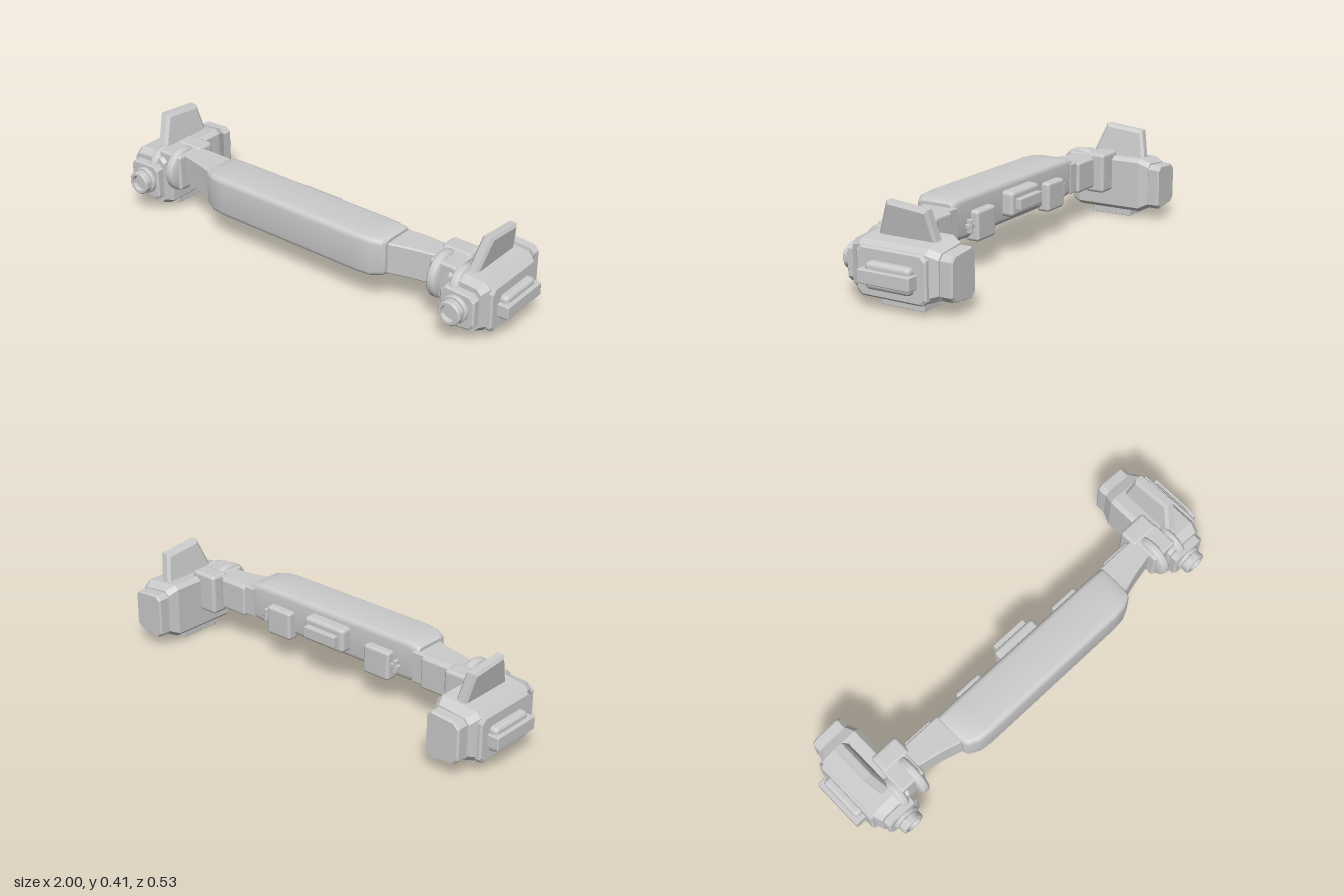
import * as THREE from 'three';
import { toCreasedNormals } from 'three/addons/utils/BufferGeometryUtils.js';
import { RoundedBoxGeometry } from 'three/addons/geometries/RoundedBoxGeometry.js';

const grey = new THREE.MeshStandardMaterial({ color: 0xcccccc });
grey.name = 'light grey';

// Rounded rectangle outline as [a, b] pairs
function roundRect(a0, a1, b0, b1, r, n = 4) {
  const pts = [];
  [[a1 - r, b1 - r], [a0 + r, b1 - r], [a0 + r, b0 + r], [a1 - r, b0 + r]].forEach(([a, b], k) => {
    for (let i = 0; i <= n; i++) {
      const t = (k + i / n) * Math.PI / 2;
      pts.push([a + r * Math.cos(t), b + r * Math.sin(t)]);
    }
  });
  return pts;
}

// Cuts the corners of a polygon by length c
function chamfer(pts, c) {
  return pts.flatMap((p, i) => [pts.at(i - 1), pts[(i + 1) % pts.length]].map((q) => {
    const d = Math.hypot(q[0] - p[0], q[1] - p[1]);
    return [p[0] + (q[0] - p[0]) * c / d, p[1] + (q[1] - p[1]) * c / d];
  }));
}

// Closed skin over rings of 3D points, turned to face outward
function loft(rings, crease = 0.5) {
  const n = rings[0].length, pos = [];
  const tri = (a, b, c) => pos.push([a, b, c]);
  for (let k = 0; k + 1 < rings.length; k++) {
    for (let i = 0; i < n; i++) {
      const j = (i + 1) % n, A = rings[k], B = rings[k + 1];
      tri(A[i], A[j], B[j]);
      tri(A[i], B[j], B[i]);
    }
  }
  const last = rings.at(-1);
  for (let i = 1; i + 1 < n; i++) {
    tri(rings[0][0], rings[0][i + 1], rings[0][i]);
    tri(last[0], last[i], last[i + 1]);
  }
  const det = ([a, b, c]) => a[0] * (b[1] * c[2] - b[2] * c[1])
    - a[1] * (b[0] * c[2] - b[2] * c[0]) + a[2] * (b[0] * c[1] - b[1] * c[0]);
  const volume = pos.reduce((s, t) => s + det(t), 0);
  if (volume < 0) pos.forEach((t) => t.reverse());
  const g = new THREE.BufferGeometry();
  g.setAttribute('position', new THREE.Float32BufferAttribute(pos.flat(2), 3));
  return toCreasedNormals(g, crease);
}

// Mirrored copy across x with corner order restored
function mirrored(geo) {
  const g = geo.index ? geo.toNonIndexed() : geo.clone();
  for (const key of ['position', 'normal']) {
    const a = g.attributes[key];
    for (let i = 0; i < a.count; i += 3) {
      const v = [0, 2, 1].map((k) => [-a.getX(i + k), a.getY(i + k), a.getZ(i + k)]);
      v.forEach((p, k) => a.setXYZ(i + k, ...p));
    }
  }
  return g;
}

// Rounded box from its limits
function box(x0, x1, y0, y1, z0, z1, r = 0.01) {
  return new RoundedBoxGeometry(x1 - x0, y1 - y0, z1 - z0, 2, r)
    .translate((x0 + x1) / 2, (y0 + y1) / 2, (z0 + z1) / 2);
}

// Turned part, its axis laid along x or z
function turned(profile, axis) {
  const g = new THREE.LatheGeometry(profile.map((p) => new THREE.Vector2(...p)), 36);
  const c = toCreasedNormals(g, 0.6);
  return axis === 'x' ? c.rotateZ(-Math.PI / 2) : c.rotateX(Math.PI / 2);
}

// Four-cornered pod section: inner and outer walls of different height
function podRing(z, xi, xo, ib, it, ob, ot, c = 0.02) {
  return chamfer([[xi, ib], [xo, ob], [xo, ot], [xi, it]], c).map(([x, y]) => [x, y, z]);
}

export function createModel() {
  const model = new THREE.Group();
  model.name = 'handleBar';
  const left = new THREE.Group(), right = new THREE.Group();
  left.name = 'leftEnd';
  right.name = 'rightEnd';
  model.add(left, right);

  const put = (parent, name, geo) => {
    const m = new THREE.Mesh(geo, grey);
    m.name = name;
    parent.add(m);
  };
  const pair = (name, geo) => {
    put(left, name, geo);
    put(right, name, mirrored(geo));
  };

  // Padded centre bar with tapered ends
  const barEnds = [[0.475, 0.155, 0.305, 0.19], [0.465, 0.148, 0.312, 0.205], [0.42, 0.142, 0.318, 0.228], [0.36, 0.14, 0.32, 0.234]];
  const barRing = (x, y0, y1, z1) => roundRect(0.03, z1, y0, y1, 0.025).map(([z, y]) => [x, y, z]);
  put(model, 'centreBar', loft([
    ...barEnds.map(([x, ...s]) => barRing(-x, ...s)),
    ...barEnds.reverse().map(([x, ...s]) => barRing(x, ...s)),
  ]));

  // Rear centre module
  put(model, 'rearModule', box(-0.11, 0.11, 0.175, 0.285, -0.02, 0.05, 0.018));
  put(model, 'rearModuleBand', box(-0.085, 0.085, 0.205, 0.255, -0.047, 0.0, 0.004));

  // Rear pads with small outer clips
  pair('rearPad', box(0.21, 0.345, 0.125, 0.255, -0.005, 0.06, 0.014));
  pair('padClip', box(0.335, 0.385, 0.185, 0.205, 0.012, 0.04, 0.004));
  pair('padClipTab', box(0.36, 0.375, 0.165, 0.225, 0.008, 0.04, 0.004));

  // Arms, narrowing in depth outward
  const armRing = (x, z1) => chamfer([[0.025, 0.152], [z1, 0.152], [z1, 0.292], [0.025, 0.292]], 0.006).map(([z, y]) => [x, y, z]);
  pair('arm', loft([armRing(0.45, 0.182), armRing(0.56, 0.15), armRing(0.68, 0.125)]));
  pair('armRearPlate', box(0.5, 0.645, 0.147, 0.287, 0.012, 0.08, 0.012));

  // Hinge block and round hinge discs
  pair('hingeBlock', box(0.65, 0.785, 0.12, 0.302, -0.03, 0.06, 0.016));
  pair('hingeCore', box(0.665, 0.79, 0.13, 0.295, 0.03, 0.165, 0.012));
  const disc = (r, h) => turned([[0, -h], [r - 0.014, -h], [r - 0.004, -h + 0.006], [r, -h + 0.014], [r, h - 0.014], [r - 0.004, h - 0.006], [r - 0.014, h], [0, h]], 'x');
  pair('innerHingeDisc', disc(0.1, 0.021).translate(0.7, 0.213, 0.11));
  pair('outerHingeDisc', disc(0.09, 0.021).rotateZ(0.1).translate(0.805, 0.203, 0.12));

  // End pod: stepped body, taller on the inner side
  pair('podBody', loft([
    podRing(-0.21, 0.75, 0.915, 0.052, 0.262, 0.07, 0.245),
    podRing(-0.165, 0.735, 0.935, 0.03, 0.282, 0.055, 0.262),
    podRing(0.14, 0.735, 0.935, 0.03, 0.282, 0.055, 0.262),
    podRing(0.182, 0.75, 0.92, 0.045, 0.262, 0.065, 0.25),
  ], 0.2));
  pair('podRear', loft([
    podRing(-0.262, 0.757, 0.9, 0.056, 0.25, 0.07, 0.238),
    podRing(-0.255, 0.752, 0.908, 0.051, 0.255, 0.066, 0.243),
    podRing(-0.19, 0.752, 0.908, 0.051, 0.255, 0.066, 0.243),
  ], 0.2));
  pair('podNose', loft([
    podRing(0.17, 0.755, 0.915, 0.068, 0.237, 0.08, 0.23),
    podRing(0.21, 0.755, 0.915, 0.068, 0.237, 0.08, 0.23),
    podRing(0.216, 0.762, 0.908, 0.075, 0.23, 0.087, 0.223),
  ], 0.2));

  // Raised outer panel
  const panelRing = (x, d) => chamfer([[-0.175 + d, 0.048 + d], [0.145 - d, 0.048 + d], [0.145 - d, 0.245 - d], [-0.175 + d, 0.245 - d]], 0.02)
    .map(([z, y]) => [x, y, z]);
  pair('outerPanel', loft([panelRing(0.92, 0), panelRing(0.943, 0), panelRing(0.95, 0.008)], 0.2));

  // Side module with a projecting band
  pair('sideModule', box(0.92, 0.982, 0.086, 0.195, -0.122, 0.086, 0.02));
  pair('sideModuleBand', box(0.93, 1, 0.112, 0.168, -0.135, 0.105, 0.005));

  // Hollow front barrel on a collar
  pair('barrelCollar', turned([[0, 0], [0.06, 0], [0.06, 0.02], [0.055, 0.025], [0, 0.025]], 'z').translate(0.83, 0.155, 0.205));
  pair('barrel', turned([[0, 0], [0.045, 0], [0.045, 0.012], [0.052, 0.014], [0.052, 0.04], [0.047, 0.045], [0.036, 0.045], [0.034, 0.025], [0, 0.025]], 'z')
    .translate(0.83, 0.154, 0.22));

  // Top fin, leaning outward
  const lean = (x, y) => x + 0.83 + (y - 0.27) * 0.2;
  const finOutline = [[0.112, 0.265], [0.053, 0.41], [-0.13, 0.393], [-0.157, 0.265]];
  const finRing = (x, k) => finOutline.map(([z, y]) => {
    const zz = -0.03 + (z + 0.03) * k, yy = 0.265 + (y - 0.265) * k;
    return [lean(x, yy), yy, zz];
  });
  pair('fin', loft([finRing(-0.025, 0.9), finRing(-0.015, 1), finRing(0.015, 1), finRing(0.025, 0.9)], 0.2));

  // Ribbed foot frame under the pod
  for (const x of [0.772, 0.868]) pair('footRail', box(x - 0.008, x + 0.008, 0, 0.06, -0.115, 0.083, 0.002));
  for (const z of [-0.107, -0.06, -0.013, 0.034, 0.075]) {
    pair('footRib', box(0.768, 0.872, 0.002, 0.06, z - 0.008, z + 0.008, 0.002));
  }
  pair('footBase', box(0.768, 0.872, 0.018, 0.06, -0.112, 0.08, 0.002));

  return model;
}
